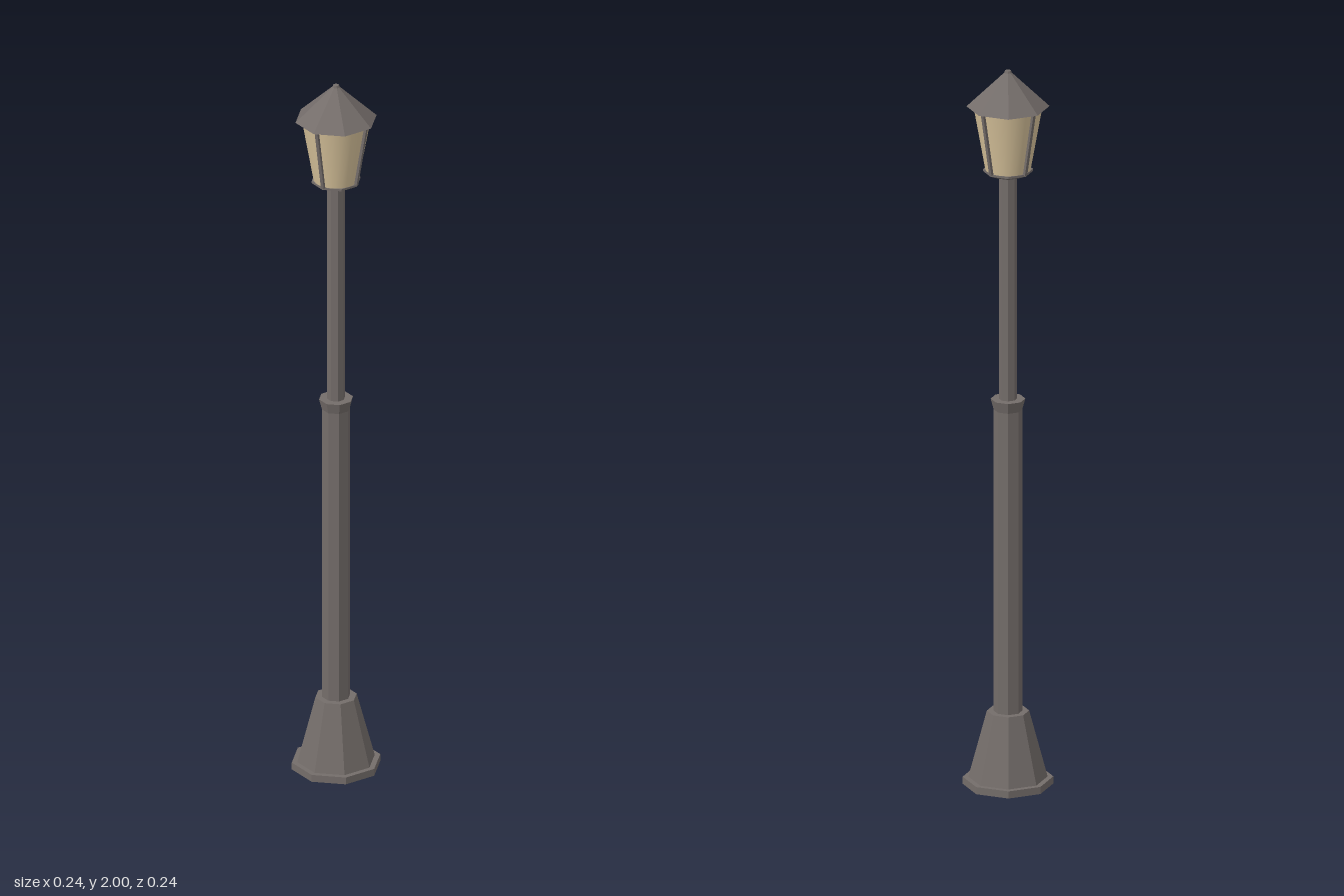
import * as THREE from 'three';

const metal = new THREE.MeshStandardMaterial({ color: 0x746d6a, side: THREE.DoubleSide });
metal.name = 'ironGrey';
const glass = new THREE.MeshStandardMaterial({ color: 0xd9c49c });
glass.name = 'warmGlass';

// Eight-sided faceted section with corners on the x and z axes
function section(name, y0, y1, rBottom, rTop, open = true) {
  const geo = new THREE.CylinderGeometry(rTop, rBottom, y1 - y0, 8, 1, open).toNonIndexed();
  geo.computeVertexNormals();
  const mesh = new THREE.Mesh(geo, metal);
  mesh.name = name;
  mesh.position.y = (y0 + y1) / 2;
  return mesh;
}

export function createModel() {
  const lamp = new THREE.Group();
  lamp.name = 'streetLamp';

  // Hollow base, open underneath
  const base = new THREE.Group();
  base.name = 'base';
  base.add(
    section('baseFlange', 0, 0.02, 0.12, 0.12),
    section('flangeTop', 0.02, 0.02, 0.12, 0.105),
    section('baseTaper', 0.02, 0.205, 0.105, 0.056),
    section('baseShoulder', 0.205, 0.205, 0.056, 0.038)
  );

  // Stepped post
  const post = new THREE.Group();
  post.name = 'post';
  post.add(
    section('lowerPost', 0.205, 1.05, 0.038, 0.038),
    section('postCollar', 1.05, 1.08, 0.038, 0.046),
    section('collarTop', 1.08, 1.08, 0.046, 0.024),
    section('upperPost', 1.08, 1.71, 0.024, 0.024)
  );

  // Lantern with a smooth glass shade
  const lantern = new THREE.Group();
  lantern.name = 'lantern';
  lantern.add(
    section('lanternCup', 1.705, 1.718, 0.035, 0.066, false),
    section('lanternRim', 1.718, 1.724, 0.066, 0.066, false),
    section('roof', 1.9, 1.994, 0.11, 0.01, false),
    section('roofTip', 1.994, 2, 0.01, 0.008, false)
  );
  const shade = new THREE.Mesh(new THREE.CylinderGeometry(0.092, 0.06, 0.18, 24, 1, true), glass);
  shade.name = 'glassShade';
  shade.position.y = 1.812;
  lantern.add(shade);

  // Four slanted ribs on the axes
  const lean = Math.atan2(0.032, 0.18);
  for (let i = 0; i < 4; i++) {
    const arm = new THREE.Group();
    arm.name = 'shadeRib';
    const rib = new THREE.Mesh(new THREE.BoxGeometry(0.009, 0.183, 0.012), metal);
    rib.name = 'rib';
    rib.position.set(0, 1.812, 0.077);
    rib.rotation.x = lean;
    arm.add(rib);
    arm.rotation.y = i * Math.PI / 2;
    lantern.add(arm);
  }

  lamp.add(base, post, lantern);
  return lamp;
}
